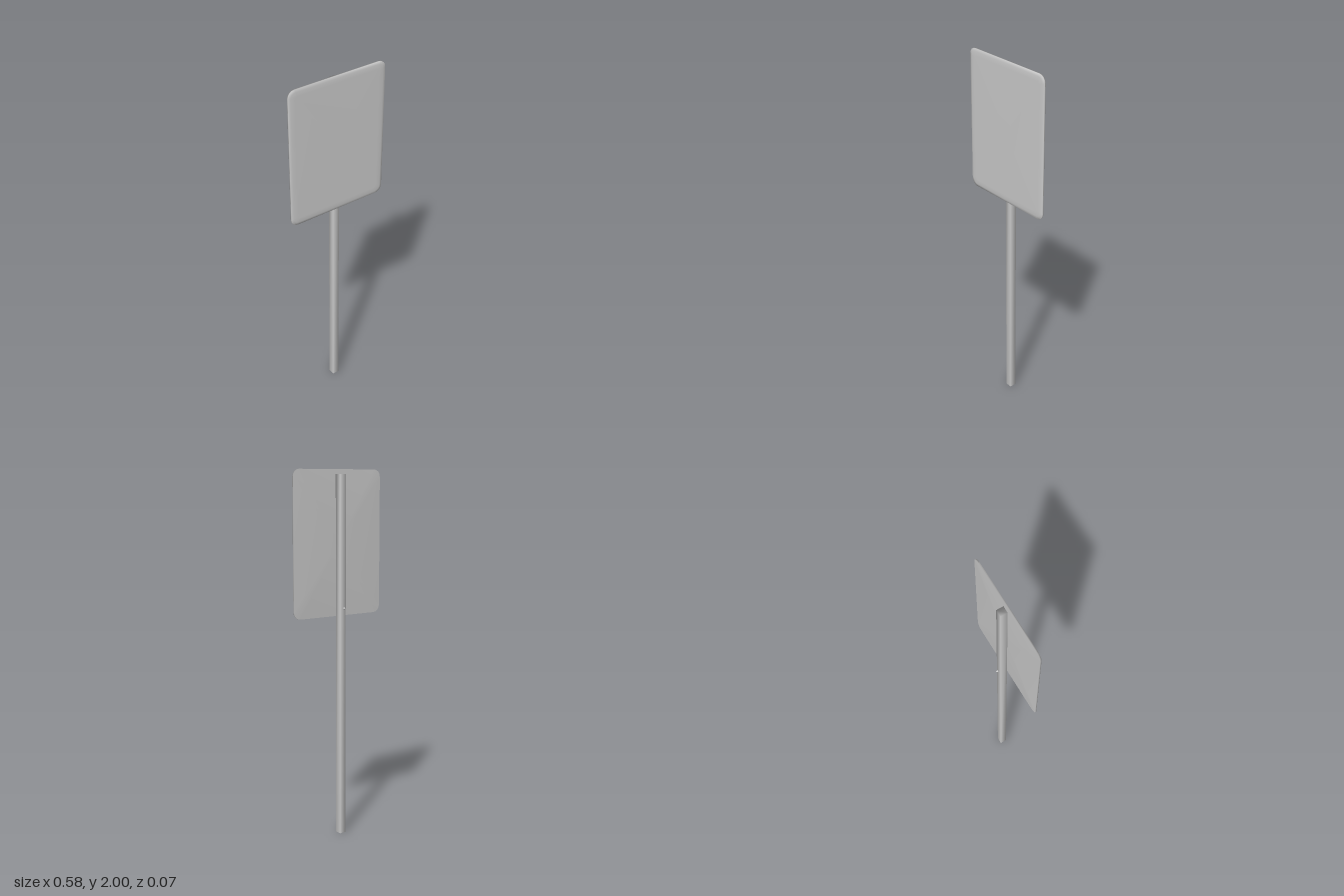
import * as THREE from 'three';
import { mergeVertices } from 'three/addons/utils/BufferGeometryUtils.js';

const material = new THREE.MeshStandardMaterial({ color: 0xcccccc });

function part(name, geometry, x, y, z) {
  const mesh = new THREE.Mesh(geometry, material);
  mesh.name = name;
  mesh.position.set(x, y, z);
  return mesh;
}

// Rounded rectangle outline, counter-clockwise seen from the front
function outline(halfW, halfH, r, z, steps = 4) {
  const points = [];
  for (let c = 0; c < 4; c++) {
    const sx = c === 0 || c === 3 ? 1 : -1;
    const sy = c < 2 ? 1 : -1;
    for (let i = 0; i <= steps; i++) {
      const a = (c + i / steps) * Math.PI / 2;
      points.push([sx * (halfW - r) + r * Math.cos(a), sy * (halfH - r) + r * Math.sin(a), z]);
    }
  }
  return points;
}

// Panel skinned over outlines from back to front, closed by a fan at each end
function panelGeometry(rings, backZ, frontZ) {
  const n = rings[0].length;
  const points = [...rings.flat(), [0, 0, backZ], [0, 0, frontZ]];
  const back = points.length - 2, front = points.length - 1;
  const last = (rings.length - 1) * n;
  const index = [];
  for (let i = 0; i < n; i++) {
    const j = (i + 1) % n;
    index.push(back, j, i, front, last + i, last + j);
    for (let k = 0; k < last; k += n) {
      index.push(k + i, k + j, k + n + i, k + j, k + n + j, k + n + i);
    }
  }
  const geometry = new THREE.BufferGeometry();
  geometry.setAttribute('position', new THREE.Float32BufferAttribute(points.flat(), 3));
  geometry.setIndex(index);
  geometry.computeVertexNormals();
  return geometry;
}

// Box whose corners share softened normals
function softBox(w, h, d) {
  const box = new THREE.BoxGeometry(w, h, d);
  box.deleteAttribute('normal');
  box.deleteAttribute('uv');
  const geometry = mergeVertices(box);
  geometry.computeVertexNormals();
  return geometry;
}

export function createModel() {
  const group = new THREE.Group();
  group.name = 'signPost';

  // Square upright
  group.add(part('post', softBox(0.038, 1.975, 0.038), 0, 0.9875, -0.003));

  // Thin plate: slightly domed back, bevelled front edge
  const rings = [
    outline(0.29, 0.39, 0.04, 0.022),
    outline(0.29, 0.39, 0.04, 0.029),
    outline(0.275, 0.375, 0.03, 0.0315),
    outline(0.25, 0.35, 0.015, 0.033),
  ];
  group.add(part('signPlate', panelGeometry(rings, 0.019, 0.033), 0, 1.61, 0));

  // Small tapered bolt tip behind the post
  const bolt = part('bolt', new THREE.CylinderGeometry(0.003, 0.007, 0.01, 6), -0.002, 1.265, -0.034);
  bolt.rotation.x = -Math.PI / 2;
  group.add(bolt);

  return group;
}
